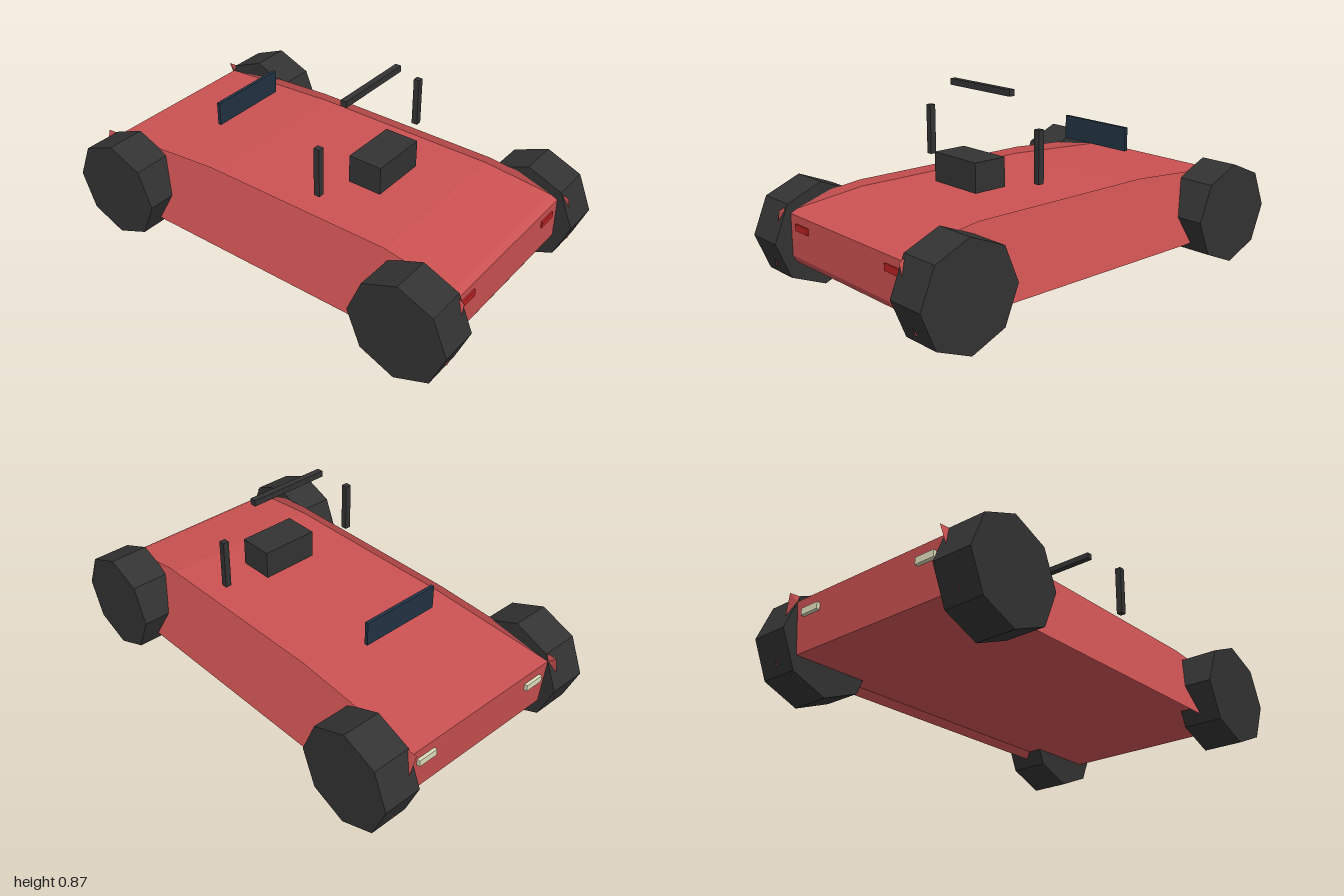
import * as THREE from 'three';

const paint = (color) => new THREE.MeshStandardMaterial({ color, flatShading: true });

// Lofts the hull through four cross-sections: rim, deck edge, deck edge, rim
function hullGeometry() {
  // [z, y] side profiles, running front bottom -> front top -> back top -> back bottom
  const inner = [[0.905, 0.135], [0.92, 0.165], [0.92, 0.35], [0.89, 0.365], [0.57, 0.405],
    [-0.33, 0.405], [-0.945, 0.362], [-0.925, 0.135]];
  const outer = [[0.955, 0.105], [0.965, 0.15], [0.965, 0.365], [0.91, 0.395], [0.58, 0.435],
    [-0.34, 0.435], [-0.98, 0.39], [-0.955, 0.105]];
  const halfWidth = (y) => 0.5 - 0.288 * (y - 0.105); // sides lean in towards the top
  const ring = (profile, s) => profile.map(([z, y]) => new THREE.Vector3(s * halfWidth(y), y, z));
  const rings = [ring(outer, -1), ring(inner, -0.965), ring(inner, 0.965), ring(outer, 1)];
  const pos = [];
  const tri = (a, b, c) => [a, b, c].forEach((p) => pos.push(p.x, p.y, p.z));
  const n = inner.length;
  for (let r = 0; r < 3; r++) {
    for (let i = 0; i < n; i++) {
      const j = (i + 1) % n;
      const a = rings[r][i], b = rings[r + 1][i], c = rings[r + 1][j], d = rings[r][j];
      tri(a, b, c);
      tri(a, c, d);
    }
  }
  // Flat side walls
  for (let i = 1; i < n - 1; i++) {
    tri(rings[3][0], rings[3][i + 1], rings[3][i]);
    tri(rings[0][0], rings[0][i], rings[0][i + 1]);
  }
  const geo = new THREE.BufferGeometry();
  geo.setAttribute('position', new THREE.Float32BufferAttribute(pos, 3));
  geo.computeVertexNormals();
  return geo;
}

export function createModel() {
  const model = new THREE.Group();
  const red = paint(0xcc5252);
  red.side = THREE.DoubleSide;
  const dark = paint(0x333333);
  const glass = paint(0x223344);
  const tailRed = paint(0xbb2222);
  const lamp = paint(0xddddbb);

  const add = (name, geo, mat, x, y, z) => {
    const mesh = new THREE.Mesh(geo, mat);
    mesh.name = name;
    mesh.position.set(x, y, z);
    model.add(mesh);
    return mesh;
  };
  const box = (name, mat, w, h, d, x, y, z) => add(name, new THREE.BoxGeometry(w, h, d), mat, x, y, z);

  add('body', hullGeometry(), red, 0, 0, 0);

  // Eight-sided wheels
  const wheelGeo = new THREE.CylinderGeometry(0.23, 0.23, 0.18, 8).rotateZ(Math.PI / 2);
  for (const side of [1, -1]) {
    const s = side > 0 ? 'left' : 'right';
    add(s + 'FrontWheel', wheelGeo, dark, side * 0.5, 0.23, 0.77);
    add(s + 'BackWheel', wheelGeo, dark, side * 0.5, 0.23, -0.77);
    box(s + 'Post', dark, 0.028, 0.225, 0.028, side * 0.355, 0.617, 0.22);
    box(s + 'FrontLight', tailRed, 0.095, 0.03, 0.02, side * 0.32, 0.3, 0.917);
    box(s + 'BackLight', lamp, 0.095, 0.03, 0.02, side * 0.32, 0.3, -0.945);
  }

  // Cabin parts
  box('seat', dark, 0.27, 0.13, 0.16, 0, 0.51, 0.29);
  box('crossBar', dark, 0.385, 0.028, 0.028, 0, 0.855, 0.22);
  box('windscreen', glass, 0.385, 0.11, 0.016, 0, 0.553, -0.478);

  return model;
}
